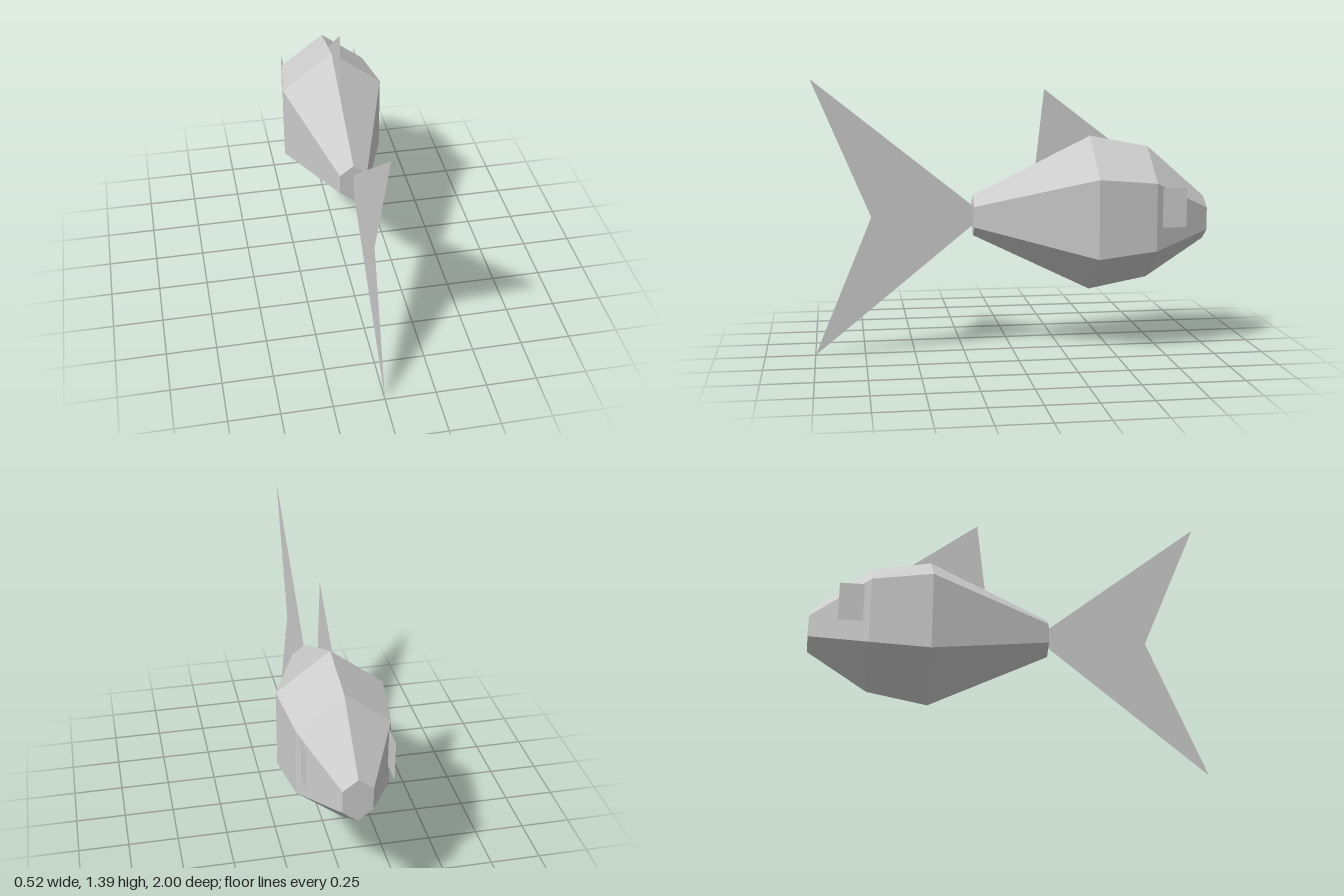
import * as THREE from 'three';

const grey = new THREE.MeshStandardMaterial({ color: 0xcccccc, flatShading: true, side: THREE.DoubleSide });
grey.name = 'grey';

// Hexagonal cross-sections: z, ridge y, upper side y, lower side y, keel y, half width
const SECTIONS = [
  [0.2, 0.8, 0.748, 0.645, 0.595, 0.068],
  [-0.4, 1.093, 0.896, 0.498, 0.302, 0.258],
  [-0.7, 1.036, 0.868, 0.527, 0.358, 0.222],
  [-1, 0.775, 0.722, 0.609, 0.555, 0.071],
];

// Faceted body lofted through the sections, capped at both ends
function bodyGeometry() {
  const rings = SECTIONS.map(([z, top, up, low, keel, w]) => [
    [0, top, z], [-w, up, z], [-w, low, z], [0, keel, z], [w, low, z], [w, up, z],
  ]);
  const pos = [];
  const tri = (...points) => points.forEach((p) => pos.push(...p));
  for (let i = 0; i < rings.length - 1; i++) {
    for (let k = 0; k < 6; k++) {
      const n = (k + 1) % 6;
      const a = rings[i][k], b = rings[i][n], c = rings[i + 1][n], d = rings[i + 1][k];
      tri(a, d, c);
      tri(a, c, b);
    }
  }
  const back = rings[0], snout = rings[rings.length - 1];
  for (let k = 1; k < 5; k++) {
    tri(back[0], back[k], back[k + 1]);
    tri(snout[0], snout[k + 1], snout[k]);
  }
  const geometry = new THREE.BufferGeometry();
  geometry.setAttribute('position', new THREE.Float32BufferAttribute(pos, 3));
  geometry.computeVertexNormals();
  return geometry;
}

// Flat sheet outlined by [z, y] points, standing in a plane of constant x
function sheet(points) {
  const shape = new THREE.Shape(points.map(([z, y]) => new THREE.Vector2(z, y)));
  return new THREE.ShapeGeometry(shape).rotateY(-Math.PI / 2);
}

export function createModel() {
  const model = new THREE.Group();
  model.name = 'fish';
  const add = (name, geometry, x = 0) => {
    const mesh = new THREE.Mesh(geometry, grey);
    mesh.name = name;
    mesh.position.x = x;
    model.add(mesh);
  };

  add('body', bodyGeometry());
  add('tailFin', sheet([[0.14, 0.697], [1, 0], [0.71, 0.697], [1, 1.387]]));
  add('dorsalFin', sheet([[-0.114, 0.9], [-0.163, 1.33], [-0.55, 1.034]]));

  // Square eye plates, rear half sunk into the cheeks
  for (const side of [-1, 1]) {
    const eye = sheet([[-0.855, 0.645], [-0.655, 0.645], [-0.655, 0.845], [-0.855, 0.845]]);
    add(side > 0 ? 'leftEye' : 'rightEye', eye, side * 0.205);
  }
  return model;
}
